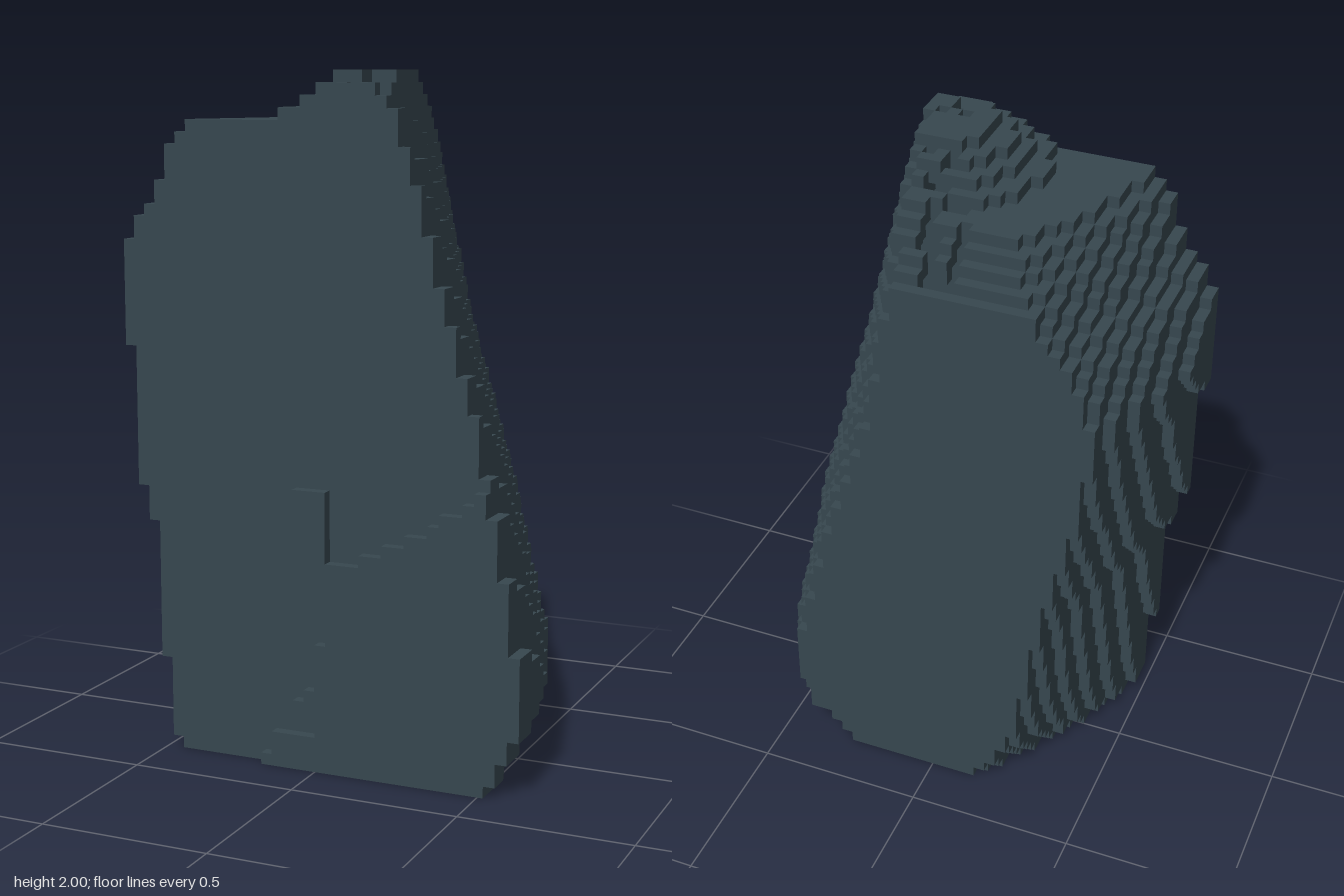
import * as THREE from 'three';

// Block grid: 36 wide, 58 tall, 20 deep
const NX = 36, NY = 58, NZ = 20, S = 2 / NY;

// Outline points as [height, x]; the boulder tapers from front to back
const FRONT_LEFT = [[0, -0.45], [0.03, -0.46], [0.05, -0.48], [0.28, -0.5], [0.69, -0.535], [0.8, -0.57], [1.21, -0.605],
  [1.36, -0.64], [1.52, -0.604], [1.58, -0.57], [1.62, -0.53], [1.69, -0.5], [1.8, -0.465], [1.86, -0.4], [2, -0.4]];
const FRONT_RIGHT = [[0, 0.51], [0.04, 0.53], [0.1, 0.565], [0.18, 0.605], [0.3, 0.635], [0.41, 0.605], [0.62, 0.567],
  [0.8, 0.533], [0.9, 0.498], [1.07, 0.463], [1.3, 0.395], [1.55, 0.327], [1.69, 0.29], [1.79, 0.255], [1.93, 0.22], [2, 0.2]];
const BACK_LEFT = [[0, -0.13], [0.15, -0.24], [0.3, -0.28], [0.67, -0.34], [1.1, -0.45], [1.38, -0.485],
  [1.55, -0.42], [1.72, -0.29], [1.9, -0.05], [2, 0]];
const BACK_RIGHT = [[0, 0.26], [0.14, 0.42], [0.35, 0.45], [0.84, 0.32], [1.27, 0.18], [1.72, 0.1], [2, 0.06]];
// Raised slab on the lower front: ragged left edge, rising upper edge
const SLAB_LEFT = [[0, -0.17], [0.03, -0.17], [0.04, -0.14], [0.1, -0.14], [0.11, 0], [0.14, 0], [0.16, -0.07],
  [0.23, -0.05], [0.25, 0], [0.38, 0], [0.39, 0.03], [0.48, 0.03], [0.5, -0.03], [0.65, -0.05], [0.68, -0.07], [0.86, -0.07]];
const SLAB_TOP = [[-0.18, 0.83], [0.03, 0.83], [0.035, 0.62], [0.13, 0.63], [0.2, 0.66], [0.31, 0.73], [0.44, 0.8], [0.5, 0.87], [0.62, 0.87]];
// Crack through the crown: column, first layer, last layer
const CRACK = [[16, 1, 4], [17, 1, 1], [18, 1, 3], [19, 3, 5], [17, 6, 6], [18, 6, 6], [19, 7, 7], [20, 7, 7],
  [19, 9, 9], [21, 9, 9], [20, 14, 14], [22, 14, 14], [21, 15, 16], [20, 17, 17]];
const SIDES = [[-1, 0, 0], [1, 0, 0], [0, -1, 0], [0, 1, 0], [0, 0, -1], [0, 0, 1]];

function lookup(points, v) {
  for (let i = 1; i < points.length; i++) {
    const [a, pa] = points[i - 1], [b, pb] = points[i];
    if (v <= b) return THREE.MathUtils.lerp(pa, pb, Math.max(0, (v - a) / (b - a)));
  }
  return points[points.length - 1][1];
}

const xAt = i => (i + 0.5 - NX / 2) * S;
const yAt = j => (j + 0.5) * S;
const zAt = k => (k + 0.5 - NZ / 2) * S;

// Crown: a flat shoulder, a low peak, and a slope falling to the back
function crownHeight(x, z) {
  const peak = Math.max(1.862, 2.075 - 0.7 * Math.hypot(x - 0.12, z - 0.12));
  const backSlope = Math.max(1.725, 1.87 + (z + 0.17));
  return Math.min(2, peak, backSlope);
}

function inBoulder(i, j, k) {
  if (k < 0 || k > NZ - 2 || j >= NY) return false;
  const x = xAt(i), y = yAt(j), z = zAt(k);
  const t = 1 - Math.pow(1 - k / (NZ - 2), 1.5);
  const left = THREE.MathUtils.lerp(lookup(BACK_LEFT, y), lookup(FRONT_LEFT, y), t);
  const right = THREE.MathUtils.lerp(lookup(BACK_RIGHT, y), lookup(FRONT_RIGHT, y), t);
  return x > left && x < right && y < crownHeight(x, z);
}

function inSlab(i, j, k) {
  if (k !== NZ - 1) return false;
  const x = xAt(i), y = yAt(j);
  return x > lookup(SLAB_LEFT, y) && x < lookup(FRONT_RIGHT, y) && y < lookup(SLAB_TOP, x);
}

// True when any of the surrounding blocks is empty; below the base does not count
function touchesOutside(solid, i, j, k) {
  for (let a = -1; a <= 1; a++) for (let b = -1; b <= 1; b++) for (let c = -1; c <= 1; c++) {
    if (j + b >= 0 && !solid(i + a, j + b, k + c)) return true;
  }
  return false;
}

// Keep only the outermost blocks: a hollow shell, open underneath
function makeShell() {
  const solid = (i, j, k) => inBoulder(i, j, k) || inSlab(i, j, k);
  const cracked = (i, k) => CRACK.some(([column, first, last]) => i === column && k >= first && k <= last);
  const shell = new Set();
  for (let i = 0; i < NX; i++) for (let j = 0; j < NY; j++) for (let k = 0; k < NZ; k++) {
    if (solid(i, j, k) && !cracked(i, k) && touchesOutside(solid, i, j, k)) shell.add([i, j, k].join());
  }
  return shell;
}

// Make the exposed faces of the shell blocks between two depth layers
function blockGeometry(shell, firstLayer, lastLayer) {
  const positions = [], normals = [];
  const corners = [[-1, -1], [1, -1], [1, 1], [-1, -1], [1, 1], [-1, 1]];
  for (const key of shell) {
    const cell = key.split(',').map(Number);
    if (cell[2] < firstLayer || cell[2] > lastLayer) continue;
    const centre = [xAt(cell[0]), yAt(cell[1]), zAt(cell[2])];
    for (const normal of SIDES) {
      if (shell.has(cell.map((c, n) => c + normal[n]).join())) continue;
      const axis = normal.findIndex(n => n !== 0), side = normal[axis];
      const u = (axis + 1) % 3, v = (axis + 2) % 3;
      for (const [a, b] of corners) {
        const p = [...centre];
        p[axis] += side * S / 2;
        p[u] += a * side * S / 2;
        p[v] += b * S / 2;
        positions.push(...p);
        normals.push(...normal);
      }
    }
  }
  const geometry = new THREE.BufferGeometry();
  geometry.setAttribute('position', new THREE.Float32BufferAttribute(positions, 3));
  geometry.setAttribute('normal', new THREE.Float32BufferAttribute(normals, 3));
  return geometry;
}

export function createModel() {
  const stone = new THREE.MeshStandardMaterial({ color: 0x37474f });
  stone.name = 'slate stone';
  const group = new THREE.Group();
  group.name = 'boulder';
  const shell = makeShell();
  for (const [name, first, last] of [['boulderBody', 0, NZ - 2], ['frontSlab', NZ - 1, NZ - 1]]) {
    const mesh = new THREE.Mesh(blockGeometry(shell, first, last), stone);
    mesh.name = name;
    group.add(mesh);
  }
  return group;
}
